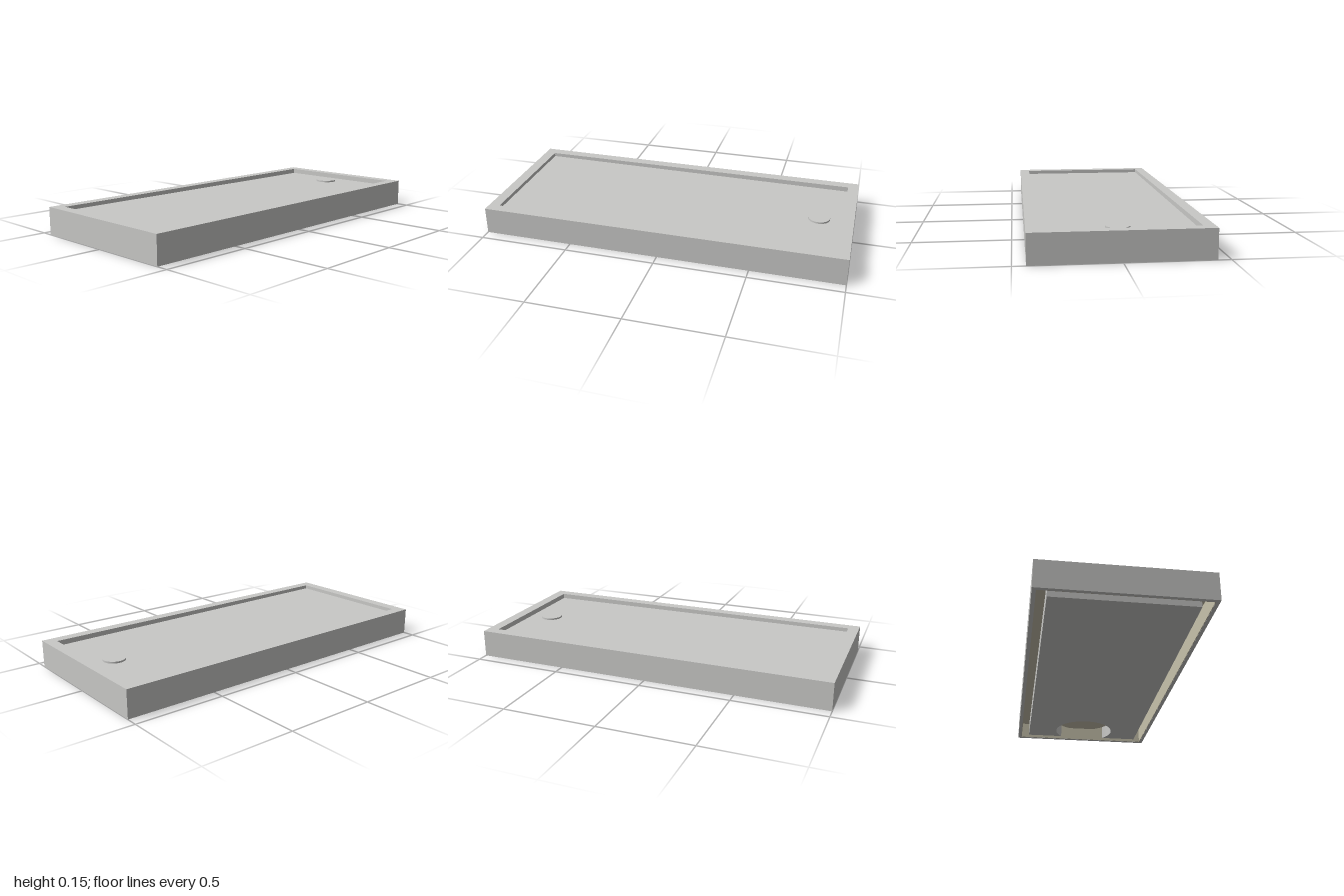
import * as THREE from 'three';

export function createModel() {
  const grey = new THREE.MeshStandardMaterial({ color: 0xc8c8c6 });
  grey.name = 'light grey';
  const beige = new THREE.MeshStandardMaterial({ color: 0xc8c3ad });
  beige.name = 'warm beige';

  const model = new THREE.Group();
  model.name = 'showerTray';

  const add = (name, geometry, material, x = 0, y = 0, z = 0) => {
    const mesh = new THREE.Mesh(geometry, material);
    mesh.name = name;
    mesh.position.set(x, y, z);
    model.add(mesh);
    return mesh;
  };
  const rect = (path, w, d) =>
    path.moveTo(-w, -d).lineTo(w, -d).lineTo(w, d).lineTo(-w, d).closePath();
  // Extrudes a plan shape upwards
  const raise = (shape, height) =>
    new THREE.ExtrudeGeometry(shape, { depth: height, bevelEnabled: false, curveSegments: 64 })
      .rotateX(-Math.PI / 2);
  // Rectangular ring given by its outer and inner half sizes
  const frame = (w, d, iw, id, height) => {
    const shape = rect(new THREE.Shape(), w, d);
    shape.holes.push(rect(new THREE.Path(), iw, id));
    return raise(shape, height);
  };

  const W = 1, D = 0.436, wall = 0.02;
  const drainX = 0.81, pocketR = 0.185;

  // Outer skirt, its inner lining, and the raised rim
  add('outerWall', frame(W, D, W - wall, D - wall, 0.1), grey);
  add('wallLining', frame(W - wall, D - wall, W - wall - 0.003, D - wall - 0.003, 0.099), beige, 0, 0.001);
  add('rim', frame(W, D, 0.94, 0.378, 0.05), grey, 0, 0.1);
  add('undersideLining', new THREE.BoxGeometry(1.97, 0.003, 0.84), beige, 0, 0.0985);

  // Sunken floor, falling gently towards the drain
  const floor = new THREE.BoxGeometry(1.88, 0.03, 0.756);
  const pos = floor.attributes.position;
  for (let i = 0; i < pos.count; i++) {
    if (pos.getY(i) > 0) pos.setY(i, pos.getX(i) > 0 ? 0.007 : 0.014);
  }
  floor.computeVertexNormals();
  add('floor', floor, grey, 0, 0.115);

  // Solid core under the floor, with the drain pocket cut out of its end
  const cw = 0.928, cd = 0.365;
  const a = Math.acos((cw - drainX) / pocketR);
  const core = new THREE.Shape();
  core.moveTo(cw, -pocketR * Math.sin(a));
  core.absarc(drainX, 0, pocketR, -a, a, true);
  core.lineTo(cw, cd).lineTo(-cw, cd).lineTo(-cw, -cd).lineTo(cw, -cd).closePath();
  add('core', raise(core, 0.098), grey);
  add('pocketCeiling', new THREE.CylinderGeometry(pocketR, pocketR, 0.018, 64), beige, drainX, 0.089);

  // Drain cover
  add('drainCover', new THREE.CylinderGeometry(0.06, 0.06, 0.02, 48), grey, drainX, 0.122);

  return model;
}
